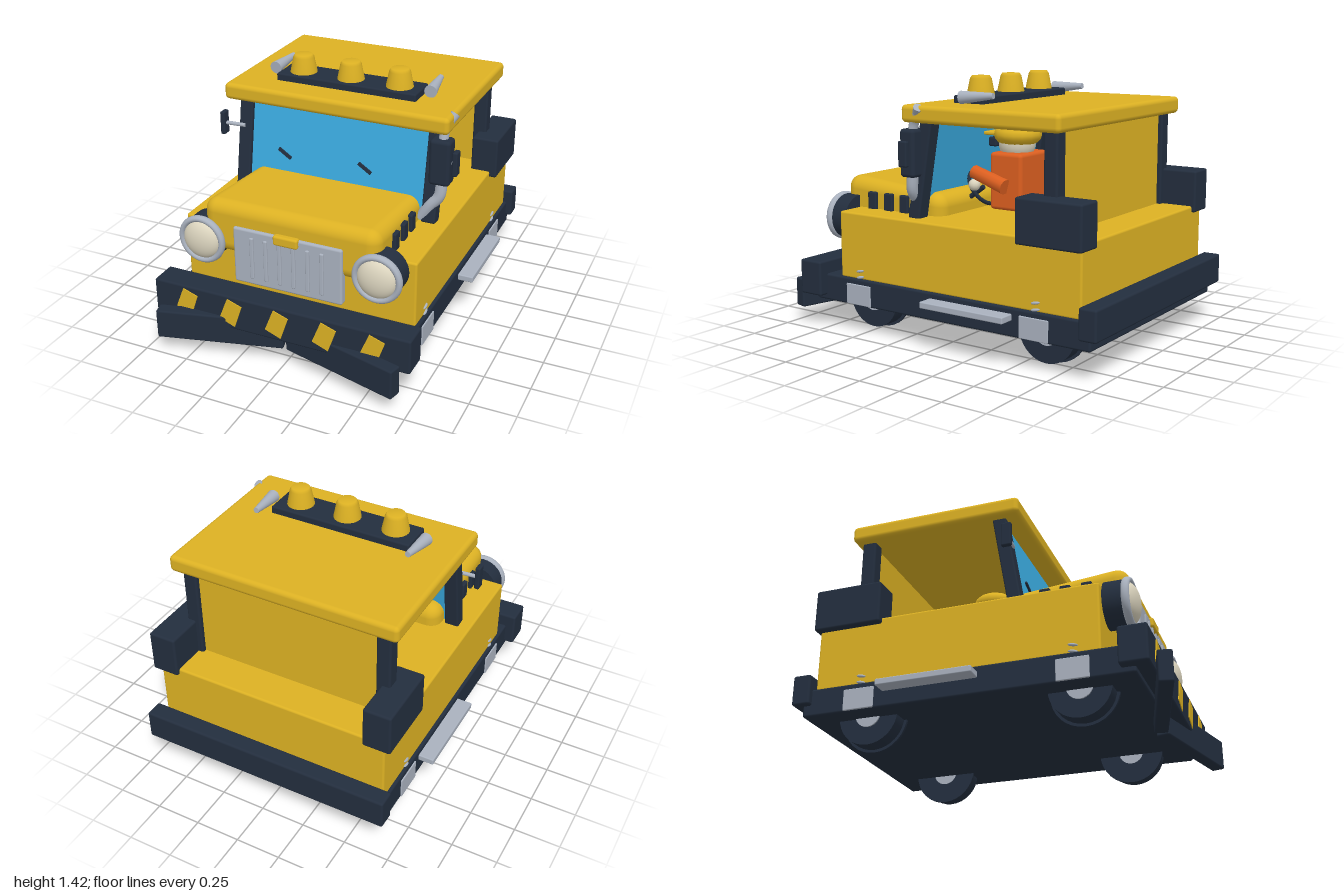
import * as THREE from 'three';
import { RoundedBoxGeometry } from 'three/addons/geometries/RoundedBoxGeometry.js';

const mat = (name, color, side = THREE.FrontSide) => {
  const m = new THREE.MeshStandardMaterial({ color, side });
  m.name = name;
  return m;
};

export function createModel() {
  const yellow = mat('yellow paint', 0xdcb123);
  const dark = mat('dark trim', 0x232e3e);
  const silver = mat('silver metal', 0xa9b1be);
  const blue = mat('blue glass', 0x3aaade);
  const cream = mat('cream lens', 0xdcd5bf);
  const orange = mat('orange jacket', 0xdc5f20);

  const model = new THREE.Group();
  const add = (name, geometry, material, x = 0, y = 0, z = 0, parent = model) => {
    const mesh = new THREE.Mesh(geometry, material);
    mesh.name = name;
    mesh.position.set(x, y, z);
    parent.add(mesh);
    return mesh;
  };
  // Rounded box given by its minimum and maximum on each axis
  const box = (name, material, [x0, x1], [y0, y1], [z0, z1], r = 0.012, parent = model) =>
    add(name, new RoundedBoxGeometry(x1 - x0, y1 - y0, z1 - z0, 3, r), material,
      (x0 + x1) / 2, (y0 + y1) / 2, (z0 + z1) / 2, parent);
  // Round rod between two points
  const rod = (name, material, a, b, ra, rb = ra, sides = 16) => {
    const p = new THREE.Vector3(...a), q = new THREE.Vector3(...b);
    const dir = q.clone().sub(p);
    const mesh = add(name, new THREE.CylinderGeometry(rb, ra, dir.length(), sides), material);
    mesh.position.copy(p).add(q).multiplyScalar(0.5);
    mesh.quaternion.setFromUnitVectors(new THREE.Vector3(0, 1, 0), dir.normalize());
    return mesh;
  };
  // Interval mirrored to the given side
  const span = (s, a, b) => (s > 0 ? [a, b] : [-b, -a]);

  // Chassis, body and bumpers
  box('chassis', dark, [-0.68, 0.68], [0.16, 0.31], [-0.95, 0.82]);
  box('body', yellow, [-0.665, 0.665], [0.305, 0.675], [-0.89, 0.65]);
  box('frontBumper', dark, [-0.735, 0.735], [0.19, 0.385], [0.745, 0.895]);
  box('rearBumper', dark, [-0.715, 0.715], [0.22, 0.385], [-1, -0.9]);

  // Slanted bumper stripes
  const stripe = new THREE.Shape([[-0.02, 0.37], [-0.07, 0.245], [0.02, 0.21], [0.065, 0.34]]
    .map(([x, y]) => new THREE.Vector2(x, y)));
  const stripeGeometry = new THREE.ExtrudeGeometry(stripe, { depth: 0.007, bevelEnabled: false });
  for (const x of [-0.535, -0.27, 0, 0.27, 0.535]) add('bumperStripe', stripeGeometry, yellow, x, 0, 0.893);

  // Hood, its top falling towards the windshield
  const hood = new RoundedBoxGeometry(1, 0.3, 0.68, 6, 0.07);
  const hp = hood.attributes.position;
  for (let i = 0; i < hp.count; i++)
    if (hp.getY(i) > 0) hp.setY(i, hp.getY(i) - (0.34 - hp.getZ(i)) * 0.09);
  add('hood', hood, yellow, 0, 0.7, 0.415);

  // Grille
  box('grille', silver, [-0.31, 0.31], [0.41, 0.73], [0.72, 0.772]);
  for (let i = 0; i < 6; i++) {
    const x = -0.2 + i * 0.08;
    box('grilleSlat', silver, [x - 0.011, x + 0.011], [0.45, 0.69], [0.765, 0.782], 0.006);
  }
  box('grilleLatch', yellow, [-0.07, 0.07], [0.685, 0.74], [0.75, 0.79]);

  // Parts found on both sides
  const slant = -0.17;
  for (const s of [1, -1]) {
    const plow = add('plowBlade', new RoundedBoxGeometry(0.69, 0.165, 0.075, 3, 0.01), dark,
      s * 0.35, 0.1725, 0.873);
    plow.rotation.y = -s * 0.255;

    // Headlight
    const lamp = new THREE.Group();
    lamp.name = 'headlight';
    lamp.position.set(s * 0.5, 0.615, 0);
    model.add(lamp);
    add('lampHousing', new THREE.CylinderGeometry(0.125, 0.125, 0.11, 32), dark, 0, 0, 0.705, lamp)
      .rotation.x = Math.PI / 2;
    add('lampRing', new THREE.TorusGeometry(0.119, 0.017, 12, 40), silver, 0, 0, 0.768, lamp).scale.z = 1.3;
    const lens = add('lampLens', new THREE.SphereGeometry(0.108, 32, 12, 0, Math.PI * 2, 0, Math.PI / 2),
      cream, 0, 0, 0.765, lamp);
    lens.rotation.x = Math.PI / 2;
    lens.scale.y = 0.5;

    for (const z of [0.32, 0.43, 0.545])
      box('hoodVent', dark, span(s, 0.49, 0.52), [0.67, 0.77], [z - 0.029, z + 0.029], 0.008);

    // Wheels with fender plates and small body clips
    for (const z of [0.51, -0.63]) {
      add('tyre', new THREE.CylinderGeometry(0.165, 0.165, 0.09, 32), dark, s * 0.515, 0.18, z)
        .rotation.z = Math.PI / 2;
      add('wheelRim', new THREE.CylinderGeometry(0.18, 0.18, 0.015, 32), dark, s * 0.466, 0.18, z)
        .rotation.z = Math.PI / 2;
      add('wheelHub', new THREE.CylinderGeometry(0.07, 0.07, 0.11, 24), silver, s * 0.513, 0.18, z)
        .rotation.z = Math.PI / 2;
      box('sidePlate', silver, span(s, 0.67, 0.687), [0.165, 0.28], [z - 0.085, z + 0.085], 0.004);
      for (const y of [0.318, 0.353]) {
        const clip = add('bodyClip', new THREE.SphereGeometry(0.027, 12, 8), silver, s * 0.665, y, z);
        clip.scale.set(0.4, 0.3, 1);
        clip.rotation.x = 0.2;
      }
    }
    box('sideStep', silver, span(s, 0.67, 0.765), [0.245, 0.28], [-0.5, 0.02], 0.006);

    // Cab pillars and rear side boxes
    add('frontPillar', new RoundedBoxGeometry(0.08, 0.54, 0.075, 2, 0.01), dark, s * 0.558, 0.935, 0.14)
      .rotation.x = slant;
    box('rearPillar', dark, span(s, 0.52, 0.6), [0.66, 1.2], [-0.71, -0.63]);
    box('sideBox', dark, span(s, 0.55, 0.705), [0.64, 0.875], [-0.91, -0.53]);

    // Mirror
    box('mirror', dark, span(s, 0.672, 0.7), [0.96, 1.095], [0.145, 0.2], 0.008);
    rod('mirrorArm', silver, [s * 0.56, 1.025, 0.165], [s * 0.68, 1.025, 0.172], 0.011);

    rod('roofHorn', silver, [s * 0.46, 1.315, -0.033], [s * 0.447, 1.33, -0.23], 0.035, 0.016, 24);
  }

  // Windshield, wipers and rear wall
  add('windshield', new THREE.BoxGeometry(1.05, 0.53, 0.02), blue, 0, 0.93, 0.145).rotation.x = slant;
  for (const x of [-0.312, 0.17]) {
    const wiper = add('wiper', new THREE.BoxGeometry(0.088, 0.018, 0.012), dark, x, 0.898, 0.166);
    wiper.rotation.set(slant, 0, -0.53);
  }
  box('rearWall', yellow, [-0.53, 0.53], [0.66, 1.2], [-0.685, -0.655], 0.004);

  // Roof, light bar and beacons
  box('roof', yellow, [-0.652, 0.652], [1.187, 1.28], [-0.75, 0.22], 0.025);
  box('lightBar', dark, [-0.41, 0.41], [1.27, 1.32], [-0.14, 0.055], 0.01);
  const beacon = new THREE.LatheGeometry([[0.076, 0], [0.058, 0.088], [0.048, 0.103], [0, 0.103]]
    .map(([r, y]) => new THREE.Vector2(r, y)), 20);
  for (const x of [-0.285, 0, 0.285]) add('beacon', beacon, yellow, x, 1.318, -0.035);

  // Exhaust stack
  const pipe = (name, points, r) => add(name, new THREE.TubeGeometry(
    new THREE.CatmullRomCurve3(points.map((p) => new THREE.Vector3(...p))), 20, r, 12), silver);
  pipe('exhaustPipe', [[0.51, 0.69, 0.19], [0.56, 0.77, 0.19], [0.605, 0.83, 0.18], [0.612, 0.92, 0.17]], 0.032);
  box('muffler', dark, [0.55, 0.665], [0.9, 1.155], [0.125, 0.22], 0.02);
  pipe('exhaustTop', [[0.612, 1.14, 0.17], [0.614, 1.19, 0.155], [0.63, 1.24, 0.125]], 0.026);
  rod('exhaustTip', silver, [0.627, 1.23, 0.13], [0.648, 1.27, 0.1], 0.022, 0.027);

  // Driver and steering wheel
  const dx = 0.22;
  box('driverBody', orange, [dx - 0.13, dx + 0.13], [0.72, 1.025], [-0.335, -0.135], 0.02);
  for (const s of [1, -1]) {
    rod('driverArm', orange, [dx + s * 0.15, 0.85, -0.25], [dx + s * 0.12, 0.91, -0.03], 0.042, 0.038, 10);
    add('driverHand', new THREE.SphereGeometry(0.033, 12, 8), cream, dx + s * 0.1, 0.835, -0.015);
  }
  add('driverHead', new THREE.SphereGeometry(0.1, 20, 14), cream, dx, 1.07, -0.225);
  box('driverGlasses', dark, [dx - 0.09, dx + 0.09], [1.05, 1.1], [-0.15, -0.1], 0.01);
  add('cap', new THREE.SphereGeometry(0.13, 16, 10), yellow, dx, 1.115, -0.23).scale.y = 0.55;
  box('capBrim', yellow, [dx - 0.08, dx + 0.08], [1.107, 1.127], [-0.16, -0.06], 0.008);
  add('steeringWheel', new THREE.TorusGeometry(0.105, 0.011, 8, 28), dark, dx, 0.81, -0.005)
    .rotation.x = 0.62;
  rod('steeringColumn', dark, [dx, 0.81, -0.005], [dx, 0.7, 0.15], 0.014);

  return model;
}
